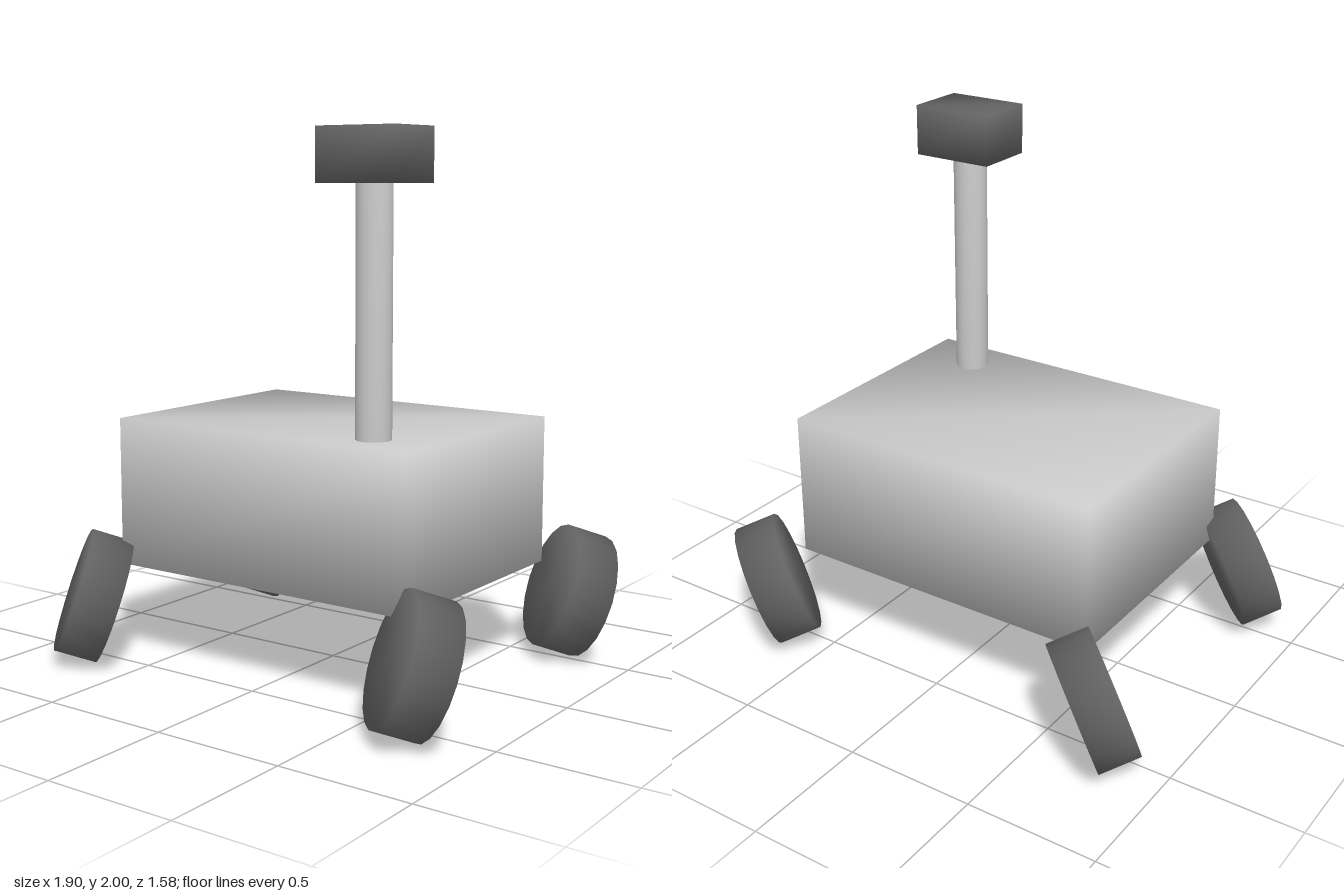
import * as THREE from 'three';
import { mergeVertices } from 'three/addons/utils/BufferGeometryUtils.js';

// Weld all corners so the normals run smoothly round every edge
function smooth(geometry) {
  geometry.deleteAttribute('normal');
  geometry.deleteAttribute('uv');
  const welded = mergeVertices(geometry, 1e-4);
  welded.clearGroups();
  welded.computeVertexNormals();
  return welded;
}

export function createModel() {
  const model = new THREE.Group();
  model.name = 'rover';

  const lightGrey = new THREE.MeshStandardMaterial({ color: 0xcccccc });
  lightGrey.name = 'light grey';
  const darkGrey = new THREE.MeshStandardMaterial({ color: 0x666666 });
  darkGrey.name = 'dark grey';

  function add(name, geometry, material, x, y, z) {
    const mesh = new THREE.Mesh(geometry, material);
    mesh.name = name;
    mesh.position.set(x, y, z);
    model.add(mesh);
    return mesh;
  }

  // Body
  add('body', smooth(new THREE.BoxGeometry(1.28, 0.56, 0.96)), lightGrey, 0, 0.655, 0);

  // Mast at the front left, with the camera head on top
  add('mast', smooth(new THREE.CylinderGeometry(0.064, 0.064, 0.96, 20)), lightGrey, 0.4, 1.335, 0.32);
  add('cameraHead', smooth(new THREE.BoxGeometry(0.32, 0.19, 0.24)), darkGrey, 0.4, 1.905, 0.32);

  // Four wheels, all turned and tilted the same way
  const wheelGeometry = smooth(new THREE.CylinderGeometry(0.24, 0.24, 0.16, 20));
  const axle = new THREE.Vector3(-2, 1, 2).normalize();
  for (const [side, x] of [['Left', 0.72], ['Right', -0.72]]) {
    for (const [end, z] of [['front', 0.56], ['back', -0.56]]) {
      const wheel = add(end + side + 'Wheel', wheelGeometry, darkGrey, x, 0.254, z);
      wheel.quaternion.setFromUnitVectors(new THREE.Vector3(0, 1, 0), axle);
    }
  }

  return model;
}
